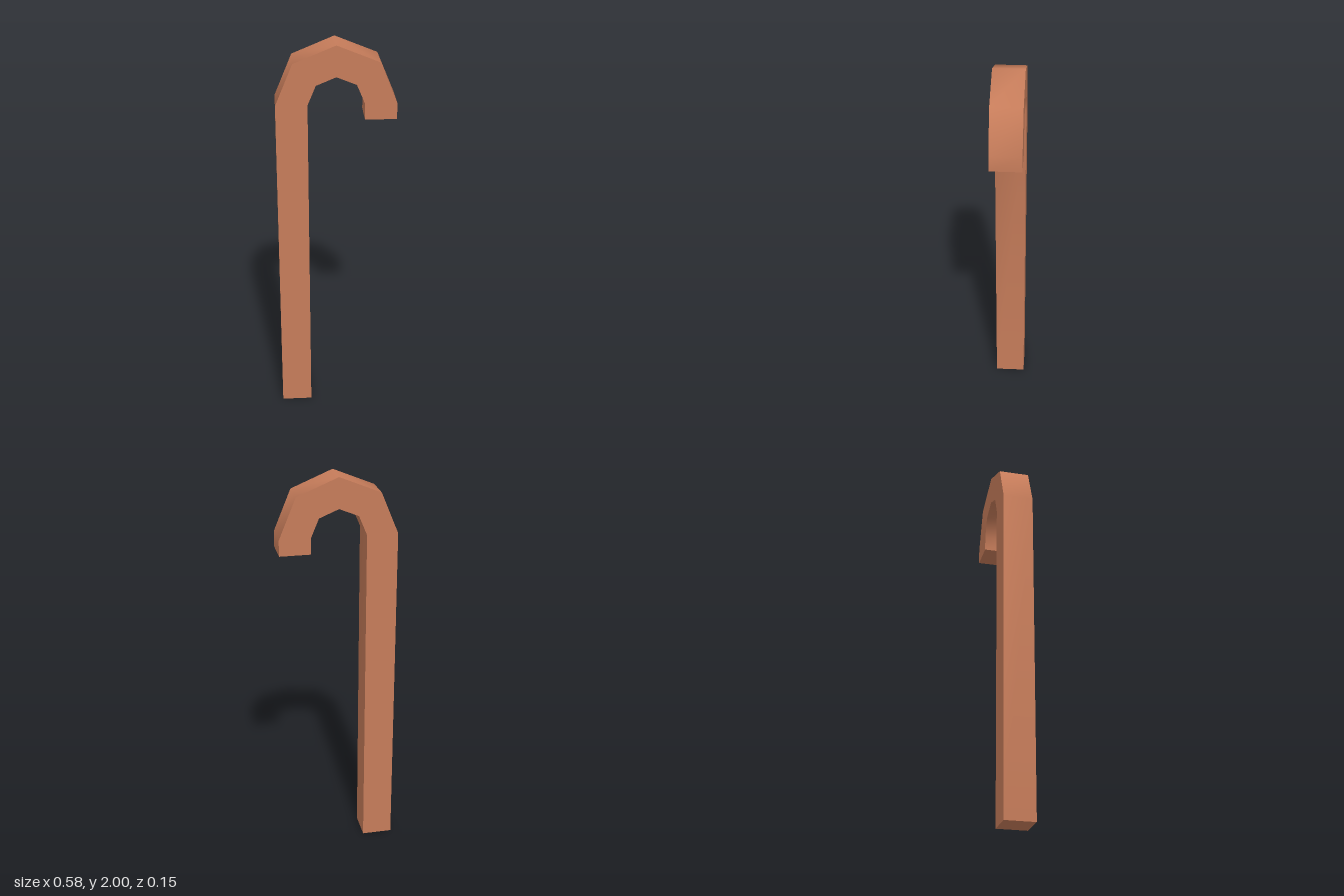
import * as THREE from 'three';
import { toCreasedNormals } from 'three/addons/utils/BufferGeometryUtils.js';

const OUTER = 0.291;   // outer radius of the bend
const INNER = 0.137;   // inner radius of the bend
const BEND_Y = 1.709;  // height of the bend's centre
const TIP_Y = 1.63;    // underside of the short end
const DEPTH = OUTER - INNER;

// Points of a four-step half circle, from the left side over the top
function arc(radius) {
  return Array.from({ length: 5 }, (_, i) => {
    const a = Math.PI * (1 - i / 4);
    return new THREE.Vector2(radius * Math.cos(a), BEND_Y + radius * Math.sin(a));
  });
}

export function createModel() {
  const wood = new THREE.MeshStandardMaterial({ color: 0xc67c5a });
  wood.name = 'warm brown';

  // Outline of the shaft, the bend and the short end
  const outline = new THREE.Shape([
    new THREE.Vector2(-OUTER, 0),
    ...arc(OUTER),
    new THREE.Vector2(OUTER, TIP_Y),
    new THREE.Vector2(INNER, TIP_Y),
    ...arc(INNER).reverse(),
    new THREE.Vector2(-INNER, 0),
  ]);

  // Square bar, shaded smoothly along the bend with sharp long edges
  const bar = new THREE.ExtrudeGeometry(outline, { depth: DEPTH, bevelEnabled: false });
  bar.translate(0, 0, -DEPTH / 2);
  const cane = new THREE.Mesh(toCreasedNormals(bar, Math.PI / 3), wood);
  cane.name = 'hookedCane';

  const group = new THREE.Group();
  group.name = 'cane';
  group.add(cane);
  return group;
}
